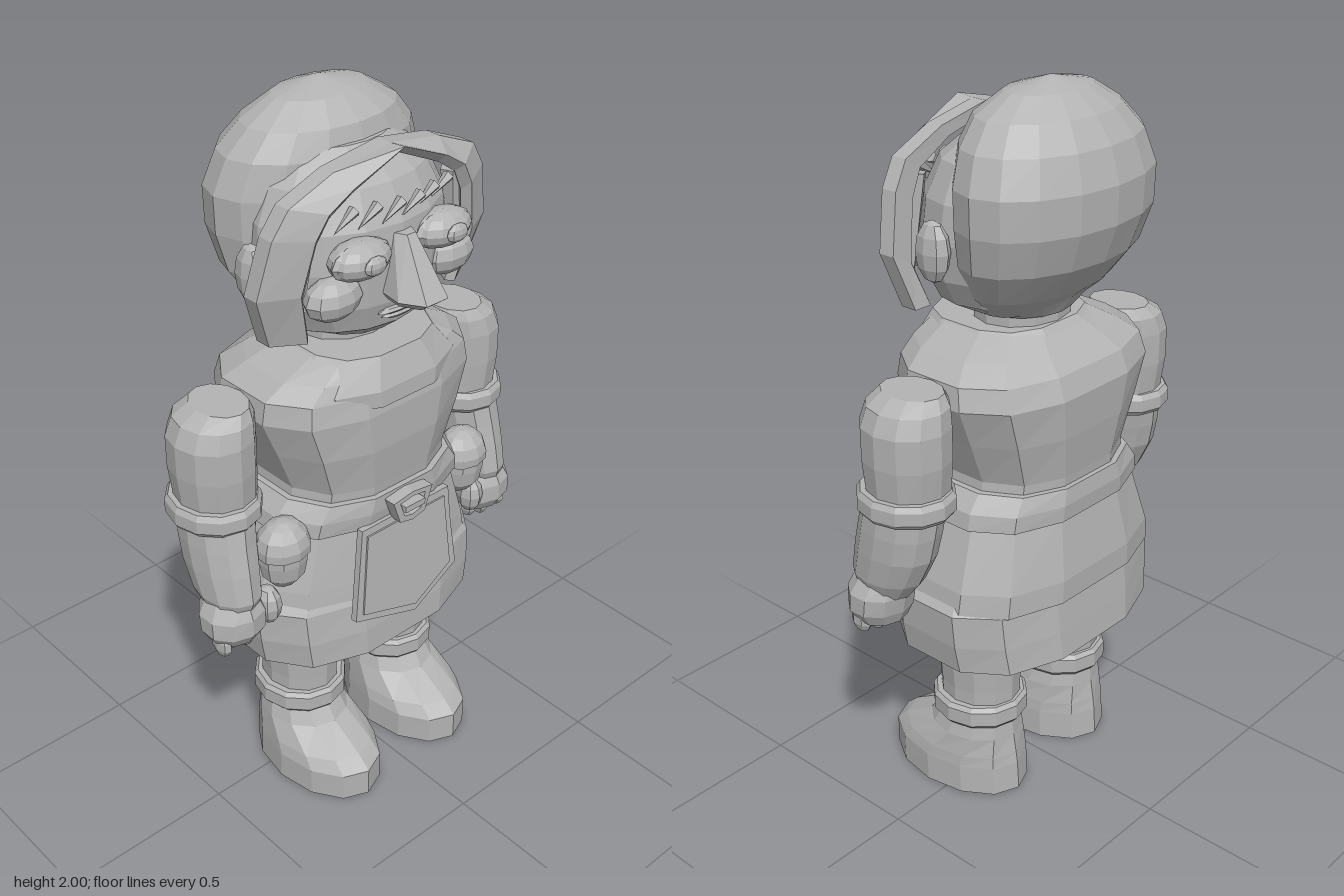
import * as THREE from 'three';

const grey = new THREE.MeshStandardMaterial({ color: 0xb3b3b3 });
grey.name = 'plain grey';

// faceted normals
function facet(g) {
  const f = g.index ? g.toNonIndexed() : g;
  f.computeVertexNormals();
  return f;
}

// skin over closed loops of points, capped at both ends
function skin(rings) {
  const n = rings[0].length, pos = [], idx = [];
  for (const r of rings) for (const p of r) pos.push(...p);
  for (let i = 0; i < rings.length - 1; i++) for (let k = 0; k < n; k++) {
    const a = i * n + k, b = i * n + (k + 1) % n;
    idx.push(a, b, b + n, a, b + n, a + n);
  }
  const top = (rings.length - 1) * n;
  for (let k = 1; k < n - 1; k++) idx.push(0, k + 1, k, top, top + k, top + k + 1);
  const g = new THREE.BufferGeometry();
  g.setAttribute('position', new THREE.Float32BufferAttribute(pos, 3));
  g.setIndex(idx);
  return facet(g);
}

// rows from bottom to top: [y, centre x, half width, front z, back z]
function loft(rows, n = 12, power = 1, turn = 0) {
  const full = Math.cos(turn / n * Math.PI * 2);
  const bend = v => Math.sign(v) * Math.abs(v / full) ** power;
  return skin(rows.map(([y, cx, rx, zf, zb]) => Array.from({ length: n }, (_, k) => {
    const a = (k + turn) / n * Math.PI * 2;
    return [cx + rx * bend(Math.sin(a)), y, (zf + zb) / 2 + (zf - zb) / 2 * bend(Math.cos(a))];
  })));
}

// boxier loft with a flat front
const bodyLoft = rows => loft(rows, 12, 0.75, 0.5);

function ball(rx, ry, rz, w = 10, h = 6) {
  return facet(new THREE.SphereGeometry(1, w, h).scale(rx, ry, rz));
}

export function createModel() {
  const model = new THREE.Group();
  function add(name, geo, x = 0, y = 0, z = 0, rx = 0, ry = 0, rz = 0) {
    const m = new THREE.Mesh(geo, grey);
    m.name = name;
    m.position.set(x, y, z);
    m.rotation.set(rx, ry, rz);
    model.add(m);
  }
  function plate(name, pts, depth, z, tilt) {
    const s = new THREE.Shape(pts.map(p => new THREE.Vector2(...p)));
    add(name, facet(new THREE.ExtrudeGeometry(s, { depth, bevelEnabled: false })), 0, 0, z, tilt);
  }

  // head
  add('cap', loft([
    [1.415, 0, 0.16, 0.04, -0.14], [1.48, 0, 0.235, 0.05, -0.215], [1.57, 0, 0.29, 0.06, -0.285],
    [1.67, 0, 0.312, 0.065, -0.322], [1.77, 0, 0.314, 0.067, -0.325], [1.86, 0, 0.28, 0.065, -0.298],
    [1.925, 0, 0.222, 0.045, -0.25], [1.975, 0, 0.138, -0.015, -0.19], [2.0, 0, 0.012, -0.1, -0.12],
  ], 16));
  add('face', loft([
    [1.405, 0, 0.14, 0.13, -0.15], [1.45, 0, 0.225, 0.185, -0.18], [1.52, 0, 0.265, 0.205, -0.2],
    [1.62, 0, 0.285, 0.21, -0.22], [1.72, 0, 0.275, 0.2, -0.22], [1.81, 0, 0.235, 0.155, -0.18], [1.885, 0, 0.15, 0.07, -0.15],
  ], 16));
  add('neck', loft([[1.34, 0, 0.14, 0.1, -0.14], [1.42, 0, 0.14, 0.1, -0.14]]));

  // hood rim: a thick flaring frame around the face
  const outer = [[0.33, 1.455], [0.38, 1.6], [0.345, 1.75], [0.3, 1.82], [0.17, 1.875], [0, 1.905]];
  const inner = [[0.25, 1.455], [0.285, 1.6], [0.255, 1.74], [0.22, 1.8], [0.15, 1.845], [0, 1.91]];
  const section = (o, i, s) => {
    const z = 0.137 + (i[1] - 1.455) * 0.14;
    const drop = i[1] > 1.5 ? 0.02 : 0;
    return [[s * i[0], i[1], z], [s * o[0], o[1], z - 0.05], [s * o[0], o[1], z - 0.097],
      [s * o[0] * 0.84, o[1] - drop * 1.5, z - 0.097], [s * i[0] * 0.93, i[1] - drop, z - 0.02]];
  };
  const half = s => outer.map((o, k) => section(o, inner[k], s));
  add('hoodRim', skin([...half(1), ...half(-1).reverse().slice(1)]));

  // nose, mouth
  const noseRing = (y, w, front, back) => [[w * 0.5, y, front], [w, y, front - (front - back) * 0.4], [w * 0.8, y, back],
    [-w * 0.8, y, back], [-w, y, front - (front - back) * 0.4], [-w * 0.5, y, front]];
  add('nose', skin([noseRing(1.53, 0.052, 0.295, 0.17), noseRing(1.552, 0.072, 0.323, 0.17), noseRing(1.7, 0.028, 0.228, 0.15)]));
  add('upperLip', ball(0.08, 0.009, 0.016, 10, 4), 0, 1.497, 0.198);
  add('lowerLip', ball(0.06, 0.01, 0.016, 10, 4), 0, 1.48, 0.192);

  // fringe of slanted locks
  for (let i = 0; i < 6; i++) {
    const x = -0.155 + i * 0.062;
    add('fringeLock', facet(new THREE.ConeGeometry(0.016, 0.08, 5)), x, 1.752, 0.2 - Math.abs(x) * 0.25, 0, 0, 2.15);
  }

  // torso, skirt and belt
  add('torso', bodyLoft([
    [0.93, 0, 0.26, 0.205, -0.245], [1.0, 0, 0.252, 0.212, -0.25], [1.12, 0, 0.3, 0.225, -0.265],
    [1.23, 0, 0.345, 0.225, -0.272], [1.29, 0, 0.335, 0.215, -0.25], [1.33, 0, 0.28, 0.205, -0.2], [1.38, 0, 0.18, 0.18, -0.14],
  ]));
  add('collar', bodyLoft([
    [1.255, 0, 0.24, 0.235, -0.2], [1.3, 0, 0.26, 0.232, -0.22], [1.38, 0, 0.185, 0.2, -0.145],
  ]));
  add('upperSkirt', bodyLoft([
    [0.655, 0, 0.372, 0.225, -0.285], [0.72, 0, 0.362, 0.22, -0.285], [0.9, 0, 0.3, 0.205, -0.255],
  ]));
  add('lowerSkirt', bodyLoft([
    [0.48, 0, 0.367, 0.24, -0.288], [0.56, 0, 0.38, 0.238, -0.28], [0.655, 0, 0.385, 0.228, -0.27], [0.7, 0, 0.35, 0.21, -0.25],
  ]));
  add('belt', bodyLoft([
    [0.885, 0, 0.318, 0.218, -0.265], [0.93, 0, 0.31, 0.225, -0.268], [0.975, 0, 0.272, 0.225, -0.262],
  ]));

  // buckle with an open centre
  const edge = k => [[-0.07, 0.03], [-0.045, -0.04], [0, -0.05], [0.045, -0.04], [0.07, 0.03], [0, 0.04]]
    .map(([x, y]) => new THREE.Vector2(x * k, y * k));
  const frame = new THREE.Shape(edge(1));
  frame.holes.push(new THREE.Path(edge(0.65).reverse()));
  add('buckle', facet(new THREE.ExtrudeGeometry(frame, { depth: 0.035, bevelEnabled: false })), 0, 0.93, 0.225);
  add('bucklePin', facet(new THREE.BoxGeometry(0.07, 0.018, 0.03)), 0, 0.93, 0.255);

  // apron flap, slightly lopsided and hanging close to the skirt
  plate('apron', [[-0.155, 0.9], [-0.195, 0.63], [0.02, 0.56], [0.18, 0.645], [0.165, 0.8], [0.16, 0.9]], 0.02, 0.284, -0.08);
  plate('apronPanel', [[-0.14, 0.88], [-0.17, 0.645], [0.02, 0.585], [0.155, 0.66], [0.14, 0.88]], 0.006, 0.303, -0.08);

  for (const s of [-1, 1]) {
    // face details
    add('ear', ball(0.035, 0.08, 0.052, 8, 6), s * 0.305, 1.61, 0);
    add('cheek', ball(0.084, 0.056, 0.055), s * 0.19, 1.568, 0.16);
    add('eye', ball(0.09, 0.05, 0.06, 12, 8), s * 0.135, 1.665, 0.193);
    add('iris', ball(0.035, 0.024, 0.016, 8, 6), s * 0.135, 1.667, 0.25);
    add('eyelid', facet(new THREE.TorusGeometry(1, 0.1, 4, 12).scale(0.085, 0.045, 0.1)), s * 0.135, 1.665, 0.2);
    add('sideLock', facet(new THREE.ConeGeometry(0.03, 0.3, 5)), s * 0.25, 1.62, 0.12, Math.PI, 0, s * -0.08);

    // arms
    const c = s * 0.442;
    add('upperArm', loft([
      [1.0, s * 0.432, 0.105, 0.09, -0.13], [1.12, s * 0.438, 0.111, 0.1, -0.145], [1.21, s * 0.438, 0.111, 0.1, -0.145],
      [1.26, s * 0.428, 0.1, 0.09, -0.135], [1.29, s * 0.41, 0.07, 0.07, -0.11],
    ]));
    add('sleeveCuff', loft([
      [0.972, c, 0.113, 0.105, -0.145], [0.985, c, 0.122, 0.115, -0.155], [1.02, c, 0.122, 0.115, -0.155], [1.035, c, 0.113, 0.105, -0.145],
    ]));
    add('forearm', loft([
      [0.72, s * 0.46, 0.06, 0.13, -0.03], [0.77, s * 0.457, 0.08, 0.148, -0.07], [0.85, s * 0.454, 0.088, 0.135, -0.11],
      [0.92, s * 0.45, 0.092, 0.12, -0.125], [1.0, c, 0.095, 0.105, -0.135],
    ]));
    add('palm', loft([
      [0.635, s * 0.463, 0.07, 0.13, 0.0], [0.67, s * 0.463, 0.092, 0.152, -0.015], [0.72, s * 0.463, 0.092, 0.152, -0.025], [0.77, s * 0.46, 0.065, 0.13, -0.02],
    ], 10));
    for (let i = 0; i < 4; i++) add('finger', ball(0.021, 0.04, 0.036, 7, 5), s * (0.412 + i * 0.035), 0.636, 0.07 + (i % 2) * 0.015);
    add('thumb', ball(0.036, 0.058, 0.042, 8, 6), s * 0.38, 0.71, 0.11);

    // belt pouches
    const p = s * 0.328;
    add('pouch', loft([
      [0.765, p, 0.035, 0.145, 0.08], [0.795, p, 0.06, 0.17, 0.06], [0.84, p, 0.068, 0.178, 0.05], [0.885, p, 0.07, 0.18, 0.05],
    ], 10));
    add('pouchLid', loft([
      [0.865, p, 0.078, 0.184, 0.046], [0.89, p, 0.078, 0.186, 0.044], [0.92, p, 0.068, 0.176, 0.054], [0.945, p, 0.045, 0.155, 0.075], [0.957, p, 0.015, 0.13, 0.1],
    ], 10));

    // legs and boots
    const l = s * 0.173;
    add('leg', loft([
      [0.2, l, 0.104, 0.1, -0.13], [0.33, l, 0.104, 0.105, -0.135], [0.48, l, 0.115, 0.113, -0.143], [0.55, l, 0.116, 0.113, -0.143],
    ]));
    add('legCuff', loft([
      [0.225, l, 0.121, 0.115, -0.142], [0.237, l, 0.131, 0.125, -0.152], [0.28, l, 0.131, 0.125, -0.152], [0.292, l, 0.121, 0.115, -0.142],
    ]));
    add('boot', loft([
      [0, l, 0.142, 0.285, -0.16], [0.085, l, 0.142, 0.285, -0.155], [0.12, l, 0.137, 0.245, -0.15],
      [0.18, l, 0.122, 0.14, -0.14], [0.23, l, 0.108, 0.108, -0.135],
    ]));
  }
  return model;
}
